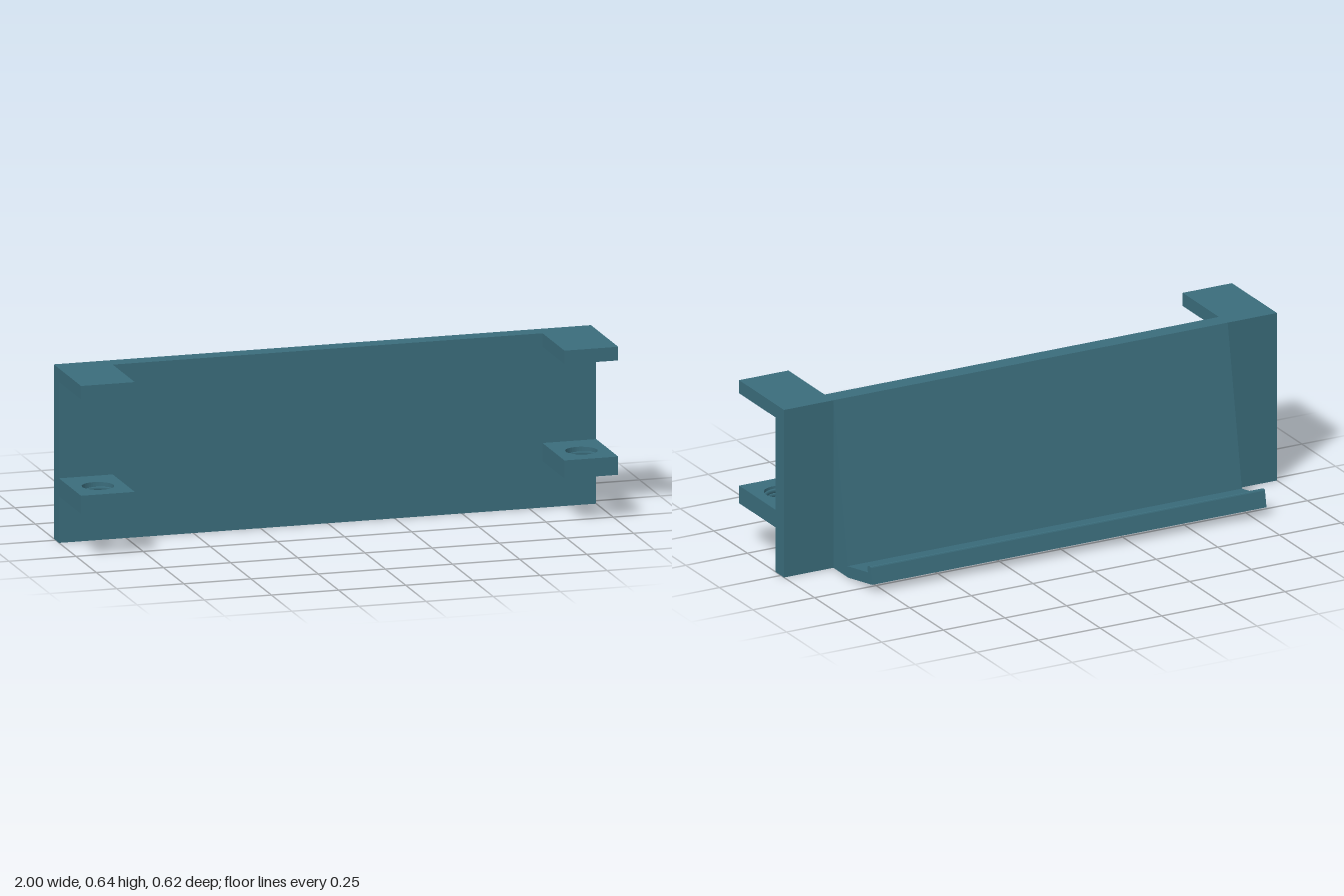
import * as THREE from 'three';

const teal = new THREE.MeshStandardMaterial({ color: 0x3a6c7b });
teal.name = 'teal';

// Extrudes a side profile of [z, y] points along x, from x0 to x1
function sideExtrude(points, x0, x1) {
  const shape = new THREE.Shape(points.map(([z, y]) => new THREE.Vector2(z, y)));
  const g = new THREE.ExtrudeGeometry(shape, { depth: x1 - x0, bevelEnabled: false });
  return g.rotateY(-Math.PI / 2).translate(x1, 0, 0);
}

// Helical ridge lining a screw hole
class Helix extends THREE.Curve {
  constructor(radius, height, turns) {
    super();
    Object.assign(this, { radius, height, turns });
  }
  getPoint(t, target = new THREE.Vector3()) {
    const a = t * this.turns * Math.PI * 2;
    return target.set(this.radius * Math.cos(a), (t - 0.5) * this.height, this.radius * Math.sin(a));
  }
}

export function createModel() {
  const model = new THREE.Group();
  const add = (name, geometry, x = 0, y = 0, z = 0) => {
    const mesh = new THREE.Mesh(geometry, teal);
    mesh.name = name;
    mesh.position.set(x, y, z);
    model.add(mesh);
  };

  const back = -0.023, front = 0.042, tip = 0.312, height = 0.64;
  const tabLow = 0.17, tabHigh = 0.237, holeZ = 0.19, holeR = 0.058;

  // Mounting plate
  add('mountingPlate', new THREE.BoxGeometry(2, height, front - back), 0, height / 2, (front + back) / 2);

  // Sloped rest with a tilted ledge and rounded lip
  add('slopedRestAndLedge', sideExtrude([
    [back, 0], [back, height], [-0.129, 0.042], [-0.28, 0.07],
    [-0.277, 0.087], [-0.278, 0.092], [-0.282, 0.095],
    [-0.295, 0.098], [-0.299, 0.097], [-0.301, 0.093],
    [-0.312, 0.033], [-0.14, 0.001], [-0.135, 0],
  ], -0.8, 0.8));

  for (const side of [-1, 1]) {
    const label = side > 0 ? 'left' : 'right';
    const x = side * 0.9;

    // Upper tab
    add(label + 'UpperTab', new THREE.BoxGeometry(0.2, 0.05, tip - front), x, height - 0.025, (tip + front) / 2);

    // Lower tab with a screw hole
    const tab = new THREE.Shape([
      new THREE.Vector2(-0.1, front), new THREE.Vector2(0.1, front),
      new THREE.Vector2(0.1, tip), new THREE.Vector2(-0.1, tip),
    ]);
    tab.holes.push(new THREE.Path().absarc(0, holeZ, holeR, 0, Math.PI * 2, true));
    const tabGeometry = new THREE.ExtrudeGeometry(tab, {
      depth: tabHigh - tabLow, bevelEnabled: false, curveSegments: 20,
    });
    add(label + 'LowerTab', tabGeometry.rotateX(Math.PI / 2), x, tabHigh, 0);

    // Screw thread
    const thread = new THREE.TubeGeometry(new Helix(holeR, 0.042, 2.5), 80, 0.01, 4);
    add(label + 'ScrewThread', thread, x, (tabLow + tabHigh) / 2, holeZ);
  }
  return model;
}
